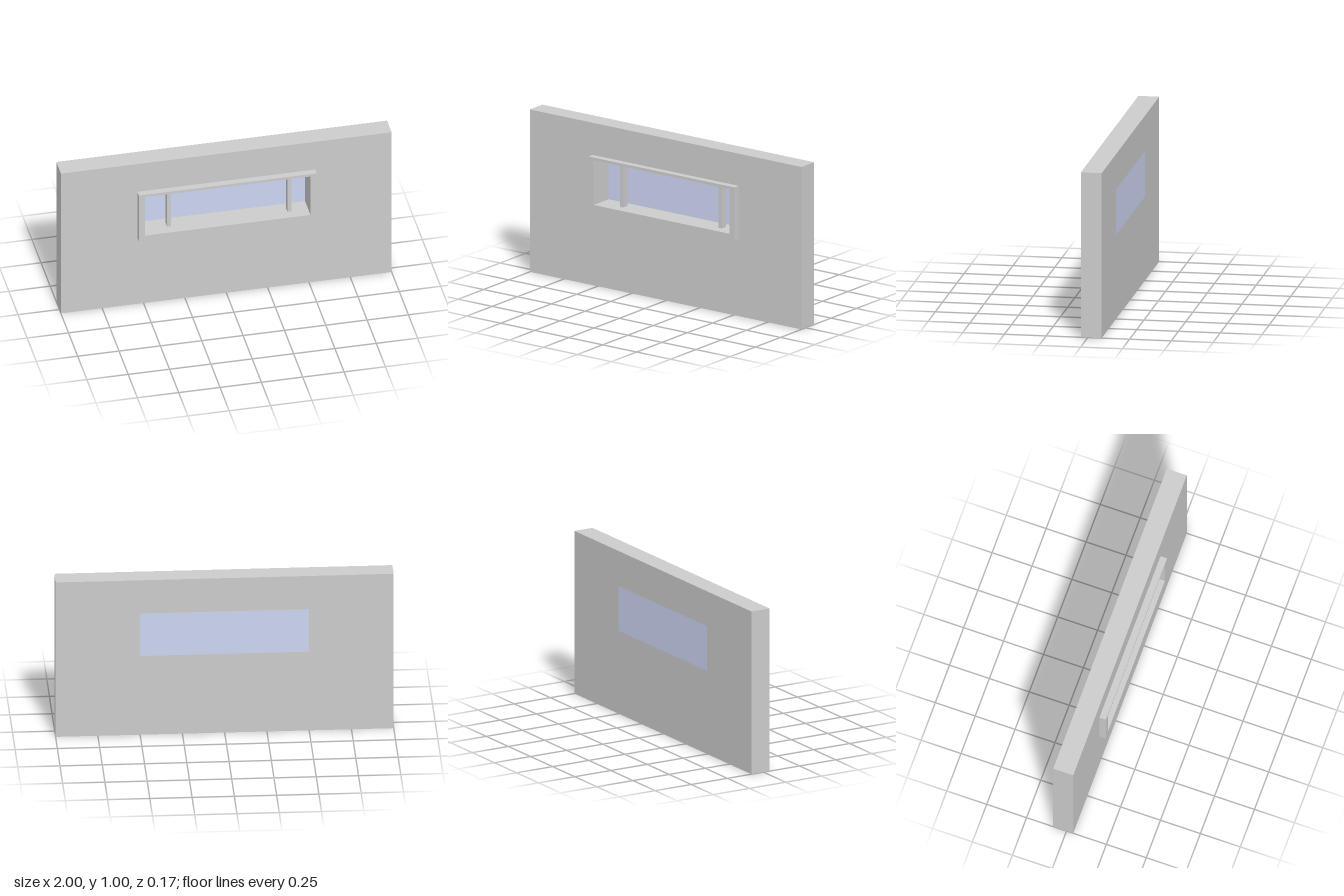
import * as THREE from 'three';

const grey = new THREE.MeshStandardMaterial({ color: 0xcccccc });
const glassBlue = new THREE.MeshStandardMaterial({ color: 0xccd5f2 });

// Window opening and depth planes shared by the parts
const opening = { x0: -0.5, x1: 0.5, y0: 0.51, y1: 0.785 };
const BACK = -0.083, WALL_FRONT = 0.042, FRAME_FRONT = 0.083;

function rectangle(Type, { x0, x1, y0, y1 }) {
  return new Type([[x0, y0], [x1, y0], [x1, y1], [x0, y1]].map(([x, y]) => new THREE.Vector2(x, y)));
}

// Rectangular slab between two z planes, with the window opening cut through
function slabWithOpening(name, outer, z0, z1) {
  const shape = rectangle(THREE.Shape, outer);
  shape.holes.push(rectangle(THREE.Path, opening));
  const geometry = new THREE.ExtrudeGeometry(shape, { depth: z1 - z0, bevelEnabled: false });
  geometry.translate(0, 0, z0);
  const mesh = new THREE.Mesh(geometry, grey);
  mesh.name = name;
  return mesh;
}

// Box that spans the height of the opening
function openingBox(name, x0, x1, z0, z1, material) {
  const { y0, y1 } = opening;
  const mesh = new THREE.Mesh(new THREE.BoxGeometry(x1 - x0, y1 - y0, z1 - z0), material);
  mesh.position.set((x0 + x1) / 2, (y0 + y1) / 2, (z0 + z1) / 2);
  mesh.name = name;
  return mesh;
}

export function createModel() {
  const model = new THREE.Group();
  model.name = 'wallWithWindow';

  // Wall and the raised trim around the opening
  model.add(slabWithOpening('wall', { x0: -1, x1: 1, y0: 0, y1: 1 }, BACK, WALL_FRONT));
  model.add(slabWithOpening('windowFrame', { x0: -0.538, x1: 0.538, y0: 0.477, y1: 0.802 }, WALL_FRONT, FRAME_FRONT));

  // Glass pane flush with the back of the wall
  model.add(openingBox('glassPane', opening.x0, opening.x1, BACK, BACK + 0.017, glassBlue));

  // Upright bars in front of the glass
  for (const [name, x] of [['rightMullion', -0.341], ['leftMullion', 0.386]]) {
    model.add(openingBox(name, x - 0.012, x + 0.012, -0.021, 0.021, grey));
  }
  return model;
}
